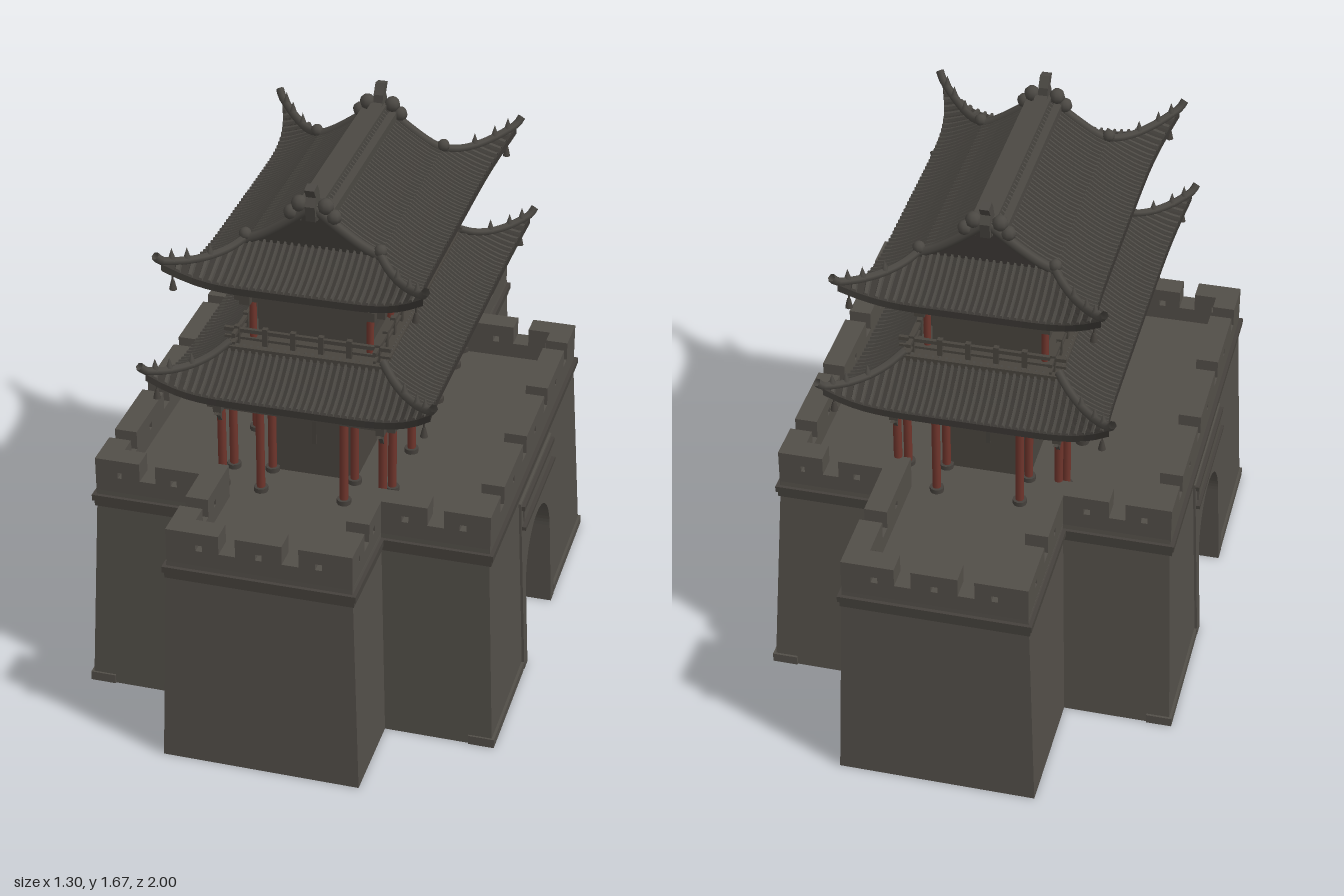
import * as THREE from 'three';
import { mergeGeometries } from 'three/addons/utils/BufferGeometryUtils.js';

const mat = (name, color, side = THREE.FrontSide) => {
  const m = new THREE.MeshStandardMaterial({ color, side });
  m.name = name;
  return m;
};

export function createModel() {
  const stone = mat('stone', 0x524e48);
  const trim = mat('dark stone trim', 0x45413c);
  const tile = mat('roof tile', 0x4b4843, THREE.DoubleSide);
  const channel = mat('roof channel', 0x3a3733, THREE.DoubleSide);
  const timber = mat('timber', 0x48443e);
  const dark = mat('dark board', 0x2d2a27);
  const red = mat('red column', 0x6f352c);

  const model = new THREE.Group();
  const tower = new THREE.Group();
  tower.name = 'tower';
  tower.position.z = 0.04;
  model.add(tower);

  const add = (parent, name, geo, m) => {
    const mesh = new THREE.Mesh(geo, m);
    mesh.name = name;
    parent.add(mesh);
    return mesh;
  };
  const merged = (parent, name, list, m) => add(parent, name, mergeGeometries(list), m);
  // Box given by its limits
  const box = (x0, x1, y0, y1, z0, z1) =>
    new THREE.BoxGeometry(x1 - x0, y1 - y0, z1 - z0).translate((x0 + x1) / 2, (y0 + y1) / 2, (z0 + z1) / 2);
  const poly = (pts) => new THREE.Shape(pts.map(([x, y]) => new THREE.Vector2(x, y)));
  const extrude = (shape, depth) => new THREE.ExtrudeGeometry(shape, { depth, bevelEnabled: false, curveSegments: 20 });
  // Profile in (z, y) pushed along x, with the walls leaning inwards
  const battered = (shape, x0, x1) => {
    const g = extrude(shape, x1 - x0).rotateY(-Math.PI / 2).translate(x1, 0, 0);
    const p = g.attributes.position;
    for (let i = 0; i < p.count; i++) p.setX(i, p.getX(i) * (1 - 0.075 * p.getY(i)));
    g.computeVertexNormals();
    return g;
  };
  // Faceted sheet from a rule f(u, v)
  const sheet = (f, nu, nv) => {
    const pos = [], idx = [];
    for (let j = 0; j <= nv; j++) for (let i = 0; i <= nu; i++) pos.push(...f(i / nu, j / nv));
    for (let j = 0; j < nv; j++) for (let i = 0; i < nu; i++) {
      const a = j * (nu + 1) + i, b = a + nu + 1;
      idx.push(a, b, a + 1, a + 1, b, b + 1);
    }
    const g = new THREE.BufferGeometry();
    g.setAttribute('position', new THREE.Float32BufferAttribute(pos, 3));
    g.setIndex(idx);
    const flat = g.toNonIndexed();
    flat.computeVertexNormals();
    return flat;
  };

  // Gate block with an arched passage along x
  const archBlock = (outline) => {
    const s = new THREE.Shape();
    s.moveTo(...outline[0]);
    outline.slice(1).forEach((p) => s.lineTo(...p));
    s.lineTo(0.24, 0);
    s.lineTo(0.24, 0.29);
    s.absellipse(0.065, 0.29, 0.175, 0.16, 0, Math.PI, false, 0);
    s.lineTo(-0.11, 0);
    s.closePath();
    return s;
  };
  add(model, 'gate block', battered(archBlock([[-0.59, 0], [-0.53, 0.69], [0.67, 0.69], [0.7, 0]]), -0.64, 0.64), stone);
  const frame = archBlock([[-0.155, 0], [-0.155, 0.61], [0.285, 0.61], [0.285, 0]]);
  for (const s of [-1, 1]) {
    const at = (g, d) => g.translate(s * d, 0, 0);
    add(model, 'gate frame', at(battered(frame, -0.01, 0.01), 0), stone).geometry = battered(frame, s > 0 ? 0.62 : -0.648, s > 0 ? 0.648 : -0.62);
    merged(model, 'gate lintel', [at(box(-0.015, 0.015, 0.585, 0.6, -0.15, 0.28), 0.615),
      at(box(-0.015, 0.015, 0.515, 0.527, -0.15, 0.28), 0.62)], trim);
    add(model, 'gate plaque', at(box(-0.015, 0.012, 0.535, 0.58, -0.13, 0.26), 0.613), stone);
    // Plinth strips beside the gate
    merged(model, 'plinth', [[-0.595, -0.16], [0.29, 0.705]].map(([a, b]) => at(box(-0.04, 0.04, 0, 0.03, a, b), 0.607)), stone);
  }

  // Doors deep in the passage
  merged(model, 'gate doors', [box(-0.012, 0.012, 0, 0.29, -0.11, 0.062), box(-0.012, 0.012, 0, 0.29, 0.068, 0.24)], stone);
  merged(model, 'door rails', [0.03, 0.18, 0.26].map((y) => box(-0.017, 0.017, y, y + 0.012, -0.11, 0.24)), trim);
  for (const s of [-1, 1]) {
    const ring = add(model, 'door ring', new THREE.TorusGeometry(0.022, 0.006, 6, 12), dark);
    ring.rotation.y = Math.PI / 2;
    ring.position.set(s * 0.02, 0.14, 0.065);
  }

  // End bastions
  for (const s of [-1, 1]) {
    const g = new THREE.BoxGeometry(0.61, 0.69, 0.6).translate(0, 0.345, s * 0.7);
    const p = g.attributes.position;
    for (let i = 0; i < p.count; i++) if (p.getY(i) > 0.3) {
      p.setX(i, p.getX(i) * 0.92);
      if (Math.abs(p.getZ(i)) > 0.9) p.setZ(i, s * 0.98);
    }
    g.computeVertexNormals();
    add(model, 'end bastion', g, stone);
  }

  // String course, following the cross-shaped outline
  const outline = (o) => {
    const a = 0.28 + o, b = 0.61 + o, f = 0.67 + o, k = -0.53 - o, e = 0.98 + o;
    return [[a, e], [-a, e], [-a, f], [-b, f], [-b, k], [-a, k], [-a, -e], [a, -e], [a, k], [b, k], [b, f], [a, f]];
  };
  for (const [o, y0, y1] of [[0.012, 0.655, 0.675], [0.006, 0.635, 0.655]])
    add(model, 'string course', extrude(poly(outline(o)), y1 - y0).rotateX(Math.PI / 2).translate(0, y1, 0), trim);

  // Parapet runs with crenels and loopholes
  const ring = outline(0);
  ring.forEach(([px, pz], i) => {
    const [qx, qz] = ring[(i + 1) % ring.length];
    const L = Math.hypot(qx - px, qz - pz);
    const gaps = L > 1 ? 4 : L > 0.5 ? 2 : 1;
    const pts = [[0, 0.67], [L, 0.67], [L, 0.8]];
    for (let k = gaps; k >= 1; k--) {
      const c = gaps === 2 ? L / 2 + (k - 1.5) * 0.19 : (L * (k - 0.5)) / gaps;
      pts.push([c + 0.025, 0.8], [c + 0.025, 0.74], [c - 0.025, 0.74], [c - 0.025, 0.8]);
    }
    pts.push([0, 0.8]);
    const s = poly(pts);
    const holes = gaps === 2 ? [0.1, L / 2, L - 0.1] : gaps === 1 ? [L * 0.25, L * 0.78] : [1, 2, 3].map((k) => (L * k) / 4);
    for (const h of holes)
      s.holes.push(poly([[h - 0.01, 0.74], [h - 0.01, 0.76], [h + 0.01, 0.76], [h + 0.01, 0.74]]));
    const wall = add(model, 'parapet', extrude(s, 0.07), stone);
    wall.position.set(px, 0, pz);
    wall.rotation.y = Math.atan2(-(qz - pz), qx - px);
  });
  merged(model, 'parapet corners', [-0.245, 0.245].flatMap((x) => [0.635, -0.495].map((z) =>
    box(x - 0.035, x + 0.035, 0.67, 0.8, z - 0.035, z + 0.035))), stone);

  // Tower storeys
  const postGeo = (x, z, y0, y1, r) => new THREE.CylinderGeometry(r, r, y1 - y0, 10).translate(x, (y0 + y1) / 2, z);
  const mirror4 = (list) => list.flatMap(([x, z]) => [[x, z], [-x, z], [x, -z], [-x, -z]]);
  const beams = (a, b, y0, y1, t) => [-1, 1].flatMap((s) => [
    box(s * a - t, s * a + t, y0, y1, -b - 0.04, b + 0.04), box(-a - 0.04, a + 0.04, y0, y1, s * b - t, s * b + t)]);
  // Stepped bracket sets set out along the beams
  const brackets = (a, b, y) => {
    const out = [];
    const set = (x, z, nx, nz) => [0, 1, 2].forEach((k) => {
      const w = 0.012 + k * 0.009, d = 0.014 + k * 0.014, cx = x + nx * k * 0.012, cz = z + nz * k * 0.012;
      const hx = nx ? d : w, hz = nz ? d : w;
      out.push(box(cx - hx, cx + hx, y + k * 0.02, y + k * 0.02 + 0.016, cz - hz, cz + hz));
    });
    for (const s of [-1, 1]) {
      for (let k = 0; k <= 8; k++) set(s * a, -b + (k * b) / 4, s, 0);
      for (let k = 0; k <= 4; k++) set(-a + (k * a) / 2, s * b, 0, s);
    }
    return out;
  };
  const lowerPosts = mirror4([[0.25, 0.5], [0.25, 0.39], [0.25, 0.16], [0.13, 0.5], [0.13, 0.38]]);
  const upperPosts = mirror4([[0.18, 0.39], [0.18, 0.16]]);
  add(tower, 'lower hall', box(-0.13, 0.13, 0.68, 1.12, -0.37, 0.37), timber);
  add(tower, 'upper hall', box(-0.17, 0.17, 1.1, 1.42, -0.37, 0.37), timber);
  merged(tower, 'lower columns', lowerPosts.map(([x, z]) => postGeo(x, z, 0.69, 0.98, 0.013)), red);
  merged(tower, 'upper columns', upperPosts.map(([x, z]) => postGeo(x, z, 1.14, 1.31, 0.011)), red);
  merged(tower, 'column bases', lowerPosts.map(([x, z]) => postGeo(x, z, 0.69, 0.705, 0.022)), trim);
  merged(tower, 'beams', [...beams(0.25, 0.5, 0.965, 0.995, 0.013), ...beams(0.19, 0.4, 1.285, 1.315, 0.016)], timber);
  merged(tower, 'bracket sets', [...brackets(0.25, 0.5, 0.995), ...brackets(0.2, 0.41, 1.315)], timber);
  merged(tower, 'ceilings', [box(-0.3, 0.3, 1.05, 1.065, -0.53, 0.53), box(-0.24, 0.24, 1.365, 1.38, -0.46, 0.46)], timber);
  // Curved braces under the lower beams
  const brace = poly([[0, 0], [0.045, 0], [0.02, -0.015], [0, -0.045]]);
  const braces = [];
  for (const [x, z] of lowerPosts.filter(([x]) => Math.abs(x) > 0.2)) for (const s of [0, 1])
    braces.push(extrude(brace, 0.012).translate(0.01, 0, -0.006).rotateY(Math.PI / 2 + s * Math.PI).translate(x, 0.966, z));
  merged(tower, 'braces', braces, timber);
  merged(tower, 'wall panels', [-1, 1].flatMap((s) => [
    box(-0.006, 0.006, 0.8, 0.9, s * 0.37 - 0.004, s * 0.37 + 0.004),
    ...[-0.27, 0, 0.27].map((z) => box(s * 0.172 - 0.004, s * 0.172 + 0.004, 1.2, 1.275, z - 0.09, z + 0.09))]), trim);

  // Balcony with its railing
  add(tower, 'balcony floor', box(-0.245, 0.245, 1.1, 1.155, -0.465, 0.465), timber);
  const rail = [...beams(0.215, 0.435, 1.192, 1.204, 0.006), ...beams(0.215, 0.435, 1.168, 1.176, 0.004)];
  const stub = (x, z) => rail.push(box(x - 0.008, x + 0.008, 1.15, 1.212, z - 0.008, z + 0.008));
  for (const s of [-1, 1]) {
    for (let k = 0; k <= 10; k++) stub(s * 0.215, -0.435 + k * 0.087);
    for (let k = 1; k < 5; k++) stub(-0.215 + k * 0.086, s * 0.435);
  }
  merged(tower, 'railing', rail, timber);
  // Leaning name boards, left blank
  for (const s of [-1, 1]) {
    const board = add(tower, 'hanging board', box(-0.007, 0.007, -0.035, 0.035, -0.062, 0.062), dark);
    board.position.set(s * 0.262, 1.297, 0);
    board.rotation.z = -s * 0.75;
  }

  // Raised tile row along a roof surface f(w, t)
  const rib = (f, w, t0) => {
    const cs = [[-0.0055, -0.002], [-0.003, 0.009], [0.003, 0.009], [0.0055, -0.002]];
    return sheet((u, v) => {
      const [dw, dy] = cs[Math.round(u * 3)];
      const [x, y, z] = f(w + dw, t0 + (1 - t0) * v);
      return [x, y + dy, z];
    }, 3, 6);
  };
  // Swept hipped skirt with upturned corners
  const hipRoof = (name, a0, b0, a1, b1, yTop, yEave, push, lift) => {
    const lerp = THREE.MathUtils.lerp;
    const base = [], ribs = [], hips = [], bells = [];
    let corner;
    for (let side = 0; side < 4; side++) {
      const onX = side % 2, sg = side < 2 ? 1 : -1;
      const [h0, h1, o0, o1] = onX ? [b0, b1, a0, a1] : [a0, a1, b0, b1];
      const f = (w, t) => {
        const s = w / lerp(h0, h1, t), k = t * t * Math.abs(s) ** 7;
        const along = w + Math.sign(s) * push * k, out = sg * (lerp(o0, o1, t) + push * k);
        const y = yEave + (yTop - yEave) * (1 - t) ** 1.5 + lift * k;
        return onX ? [out, y, along] : [along, y, out];
      };
      // Top face, eave edge and soffit in one sweep
      base.push(sheet((u, v) => {
        const under = v > 0.5, t = under ? (1 - v) * 15 / 7 : v * 15 / 7;
        const tt = Math.min(1, t);
        const [x, y, z] = f((u * 2 - 1) * lerp(h0, h1, tt), tt);
        return [x, y - (under ? 0.022 : 0), z];
      }, 28, 15));
      const n = Math.floor((h1 - 0.01) / 0.021);
      for (let k = -n; k <= n; k++) ribs.push(rib(f, k * 0.021, Math.max(0, (Math.abs(k) * 0.021 - h0) / (h1 - h0))));
      if (side === 0) corner = (t) => f(lerp(h0, h1, t), t);
    }
    const line = [0, 0.25, 0.5, 0.75, 0.9, 1].map(corner);
    const [tx, ty, tz] = line[5];
    line.push([tx + 0.012, ty + 0.02, tz + 0.014]);
    for (const [sx, sz] of mirror4([[1, 1]])) {
      const path = line.map(([x, y, z]) => new THREE.Vector3(x * sx, y + 0.012, z * sz));
      hips.push(new THREE.TubeGeometry(new THREE.CatmullRomCurve3(path), 20, 0.013, 6));
      // Small guardian lumps on the hip ridge
      for (const i of [2, 3, 4]) hips.push(new THREE.ConeGeometry(0.013, 0.04, 6).translate(path[i].x, path[i].y + 0.022, path[i].z));
      bells.push(new THREE.CylinderGeometry(0.005, 0.012, 0.03, 8).translate(sx * (tx - 0.025), ty - 0.075, sz * (tz - 0.025)));
      bells.push(new THREE.CylinderGeometry(0.003, 0.003, 0.06, 5).translate(sx * (tx - 0.025), ty - 0.045, sz * (tz - 0.025)));
    }
    merged(tower, name, base, channel);
    merged(tower, name + ' tiles', ribs, tile);
    merged(tower, name + ' hip ridges', hips, tile);
    merged(tower, name + ' corner bells', bells, trim);
  };
  hipRoof('lower roof', 0.235, 0.45, 0.395, 0.615, 1.15, 1.055, 0.035, 0.075);
  hipRoof('upper roof', 0.2, 0.37, 0.338, 0.545, 1.465, 1.395, 0.05, 0.075);

  // Gabled upper part of the top roof
  const slope = (t) => [0.205 * t, 1.46 + 0.135 * (1 - t) ** 1.25];
  const line = [0, 0.25, 0.5, 0.75, 1].map(slope);
  const gable = poly([...line.map(([x, y]) => [-x, y]).reverse(), ...line.slice(1), [0.205, 1.44], [-0.205, 1.44]]);
  add(tower, 'gable roof', extrude(gable, 0.74).translate(0, 0, -0.37), channel);
  const gableRibs = [], barges = [];
  for (const s of [-1, 1]) {
    const f = (w, t) => { const [x, y] = slope(t); return [s * x, y, w]; };
    for (let k = -17; k <= 17; k++) gableRibs.push(rib(f, k * 0.021, 0));
    for (const z of [-0.372, 0.372]) {
      const path = line.map(([x, y]) => new THREE.Vector3(s * x, y + 0.008, z));
      barges.push(new THREE.TubeGeometry(new THREE.CatmullRomCurve3(path), 12, 0.015, 6));
      barges.push(new THREE.SphereGeometry(0.02, 8, 6).translate(s * 0.205, 1.485, z));
      barges.push(new THREE.SphereGeometry(0.023, 8, 6).translate(s * 0.065, 1.575, z));
    }
  }
  merged(tower, 'gable tiles', gableRibs, tile);
  merged(tower, 'barge ridges', barges, tile);
  merged(tower, 'main ridge', [box(-0.018, 0.018, 1.56, 1.6, -0.38, 0.38), box(-0.025, 0.025, 1.597, 1.608, -0.38, 0.38),
    ...[-1, 1].map((s) => box(s * 0.045 - 0.012, s * 0.045 + 0.012, 1.55, 1.585, -0.37, 0.37))], tile);

  // Curled finials at both ridge ends
  const finial = poly([[-0.05, 1.56], [0.02, 1.56], [0.03, 1.61], [0.015, 1.635], [0.035, 1.665], [0.0, 1.672], [-0.022, 1.64], [-0.025, 1.615], [-0.05, 1.605]]);
  for (const s of [-1, 1]) {
    const g = add(tower, 'ridge finial', extrude(finial, 0.03), tile);
    g.rotation.y = -s * Math.PI / 2;
    g.position.set(s * 0.015, 0, s * 0.37);
    merged(tower, 'finial scrolls', [-1, 1].map((k) =>
      new THREE.SphereGeometry(0.025, 8, 6).translate(k * 0.04, 1.605, s * 0.37)), tile);
  }
  return model;
}
